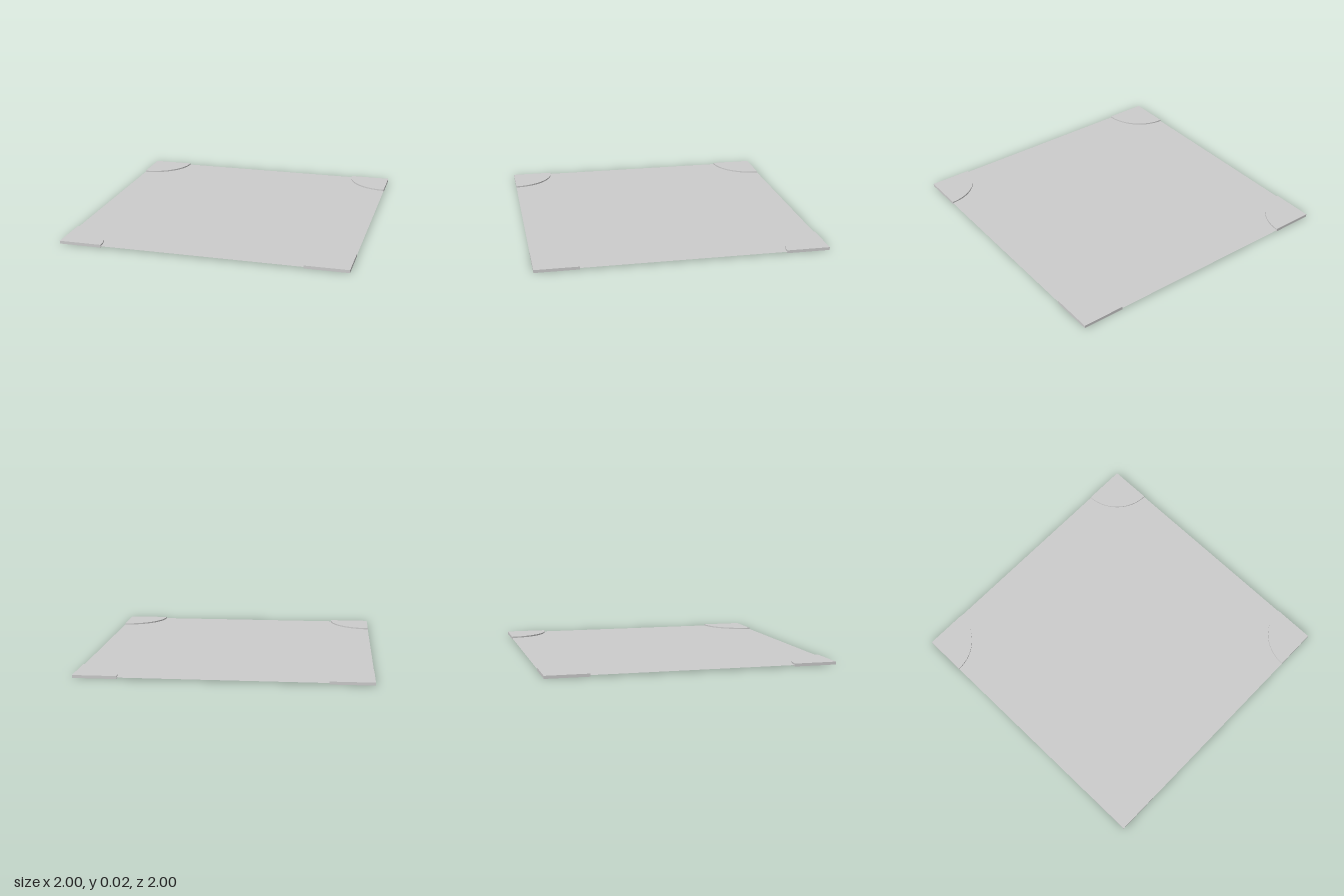
import * as THREE from 'three';
import { toCreasedNormals } from 'three/addons/utils/BufferGeometryUtils.js';

const HALF = 1, RADIUS = 0.3, THICK = 0.02;

// Quarter disc with its right angle at the origin, lying flat from y = 0 up
function quarterDisc() {
  const shape = new THREE.Shape();
  shape.moveTo(0, 0);
  shape.lineTo(RADIUS, 0);
  shape.absarc(0, 0, RADIUS, 0, Math.PI / 2, false);
  shape.lineTo(0, 0);
  const geo = new THREE.ExtrudeGeometry(shape, { depth: THICK, bevelEnabled: false, curveSegments: 24 });
  geo.rotateX(-Math.PI / 2);
  return toCreasedNormals(geo, Math.PI / 6);
}

export function createModel() {
  const model = new THREE.Group();
  model.name = 'sheetWithCorners';
  const material = new THREE.MeshStandardMaterial({ color: 0xcccccc });
  const sheetMaterial = new THREE.MeshStandardMaterial({ color: 0xcccccc, side: THREE.DoubleSide });

  // Thin sheet held at mid-height of the corner pieces
  const sheet = new THREE.Mesh(new THREE.PlaneGeometry(2 * HALF, 2 * HALF).rotateX(-Math.PI / 2), sheetMaterial);
  sheet.name = 'sheet';
  sheet.position.y = THICK / 2;
  model.add(sheet);

  // Four corner pieces, each turned a quarter further so its arc faces the middle
  const corner = quarterDisc();
  const places = [
    ['cornerFrontRight', -1, 1],
    ['cornerFrontLeft', 1, 1],
    ['cornerBackLeft', 1, -1],
    ['cornerBackRight', -1, -1],
  ];
  places.forEach(([name, sx, sz], i) => {
    const mesh = new THREE.Mesh(corner, material);
    mesh.name = name;
    mesh.position.set(sx * HALF, 0, sz * HALF);
    mesh.rotation.y = i * Math.PI / 2;
    model.add(mesh);
  });

  return model;
}
